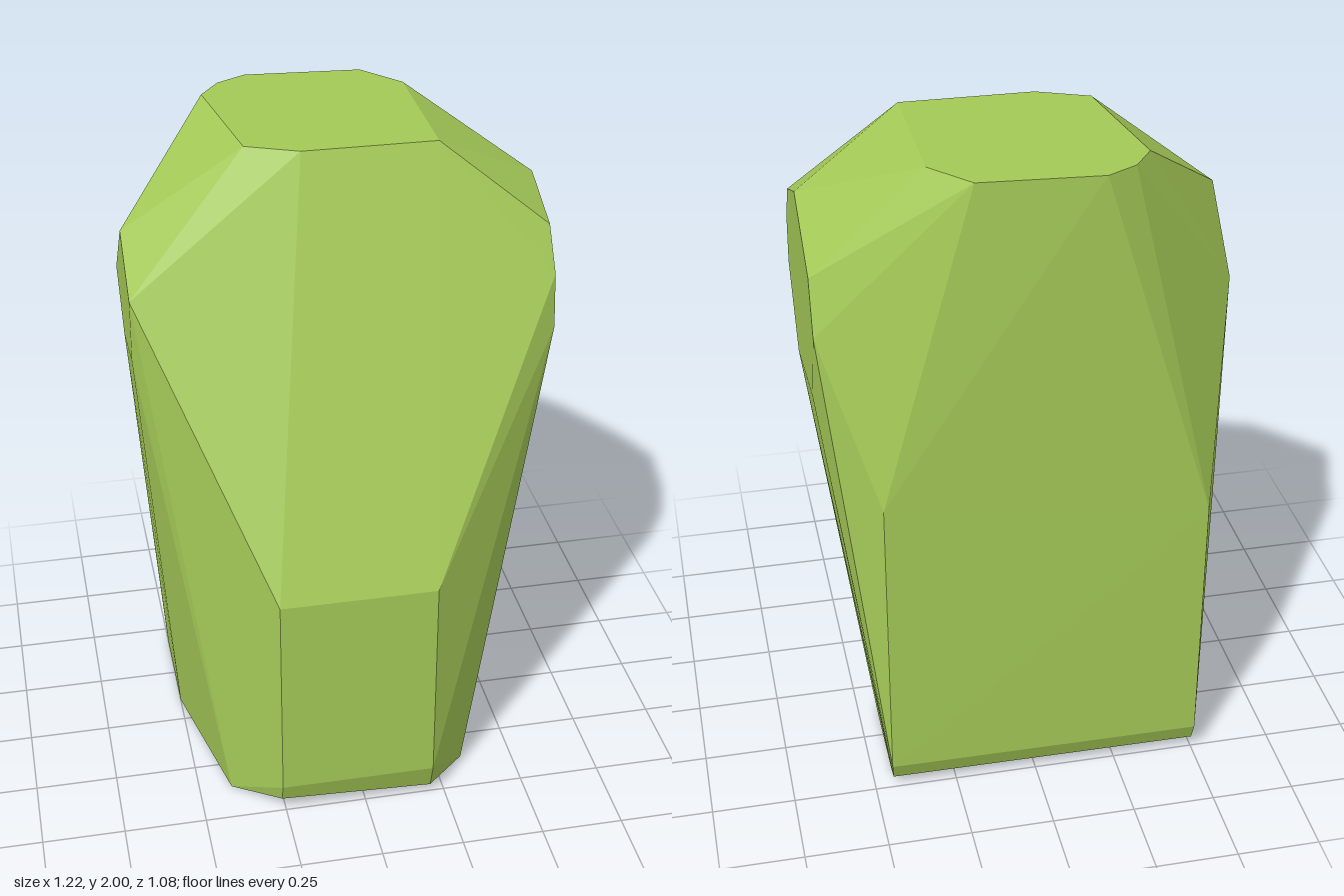
import * as THREE from 'three';
import { ConvexGeometry } from 'three/addons/geometries/ConvexGeometry.js';

export function createModel() {
  const group = new THREE.Group();
  group.name = 'rock';
  const points = [];

  // Corners sharing one x: [y, z] pairs
  const sideFace = (x, corners) => corners.forEach(([y, z]) => points.push(new THREE.Vector3(x, y, z)));
  // Corners sharing one y: [x, z] pairs
  const levelFace = (y, corners) => corners.forEach(([x, z]) => points.push(new THREE.Vector3(x, y, z)));

  // Flat top
  levelFace(2, [[-0.32, -0.4], [-0.26, 0.01], [-0.11, 0.075], [0.285, 0.075],
    [0.285, -0.385], [0.18, -0.51], [-0.17, -0.535], [-0.26, -0.485]]);
  // Shoulder facet on the left
  sideFace(0.605, [[1.46, 0.23], [1.62, 0.21], [1.74, 0.13], [1.82, -0.07],
    [1.68, -0.33], [1.52, -0.38], [1.28, -0.27], [1.24, 0.07]]);
  // Shoulder facet on the right
  sideFace(-0.61, [[1.74, -0.065], [1.6, 0.11], [1.4, 0.09], [1.38, -0.12], [1.53, -0.27]]);
  // Front strip and its lower bevel
  levelFace(0.79, [[-0.265, 0.535], [0.205, 0.535]]);
  levelFace(0.12, [[-0.265, 0.535], [0.205, 0.535]]);
  points.push(new THREE.Vector3(-0.265, 0.06, 0.515), new THREE.Vector3(0.205, 0.03, 0.505));
  // Back corner edges
  sideFace(0.45, [[1.03, -0.53], [0.1, -0.525]]);
  sideFace(-0.5, [[0.92, -0.54], [0.1, -0.53]]);
  levelFace(0.04, [[0.445, -0.5], [-0.5, -0.505]]);
  // Base
  levelFace(0, [[-0.4, 0.36], [0.34, 0.36], [0.44, -0.15], [0.44, -0.42], [-0.5, -0.42], [-0.5, -0.1]]);

  const stone = new THREE.Mesh(
    new ConvexGeometry(points),
    new THREE.MeshStandardMaterial({ color: 0xa4c957, flatShading: true })
  );
  stone.name = 'stone';
  group.add(stone);
  return group;
}
